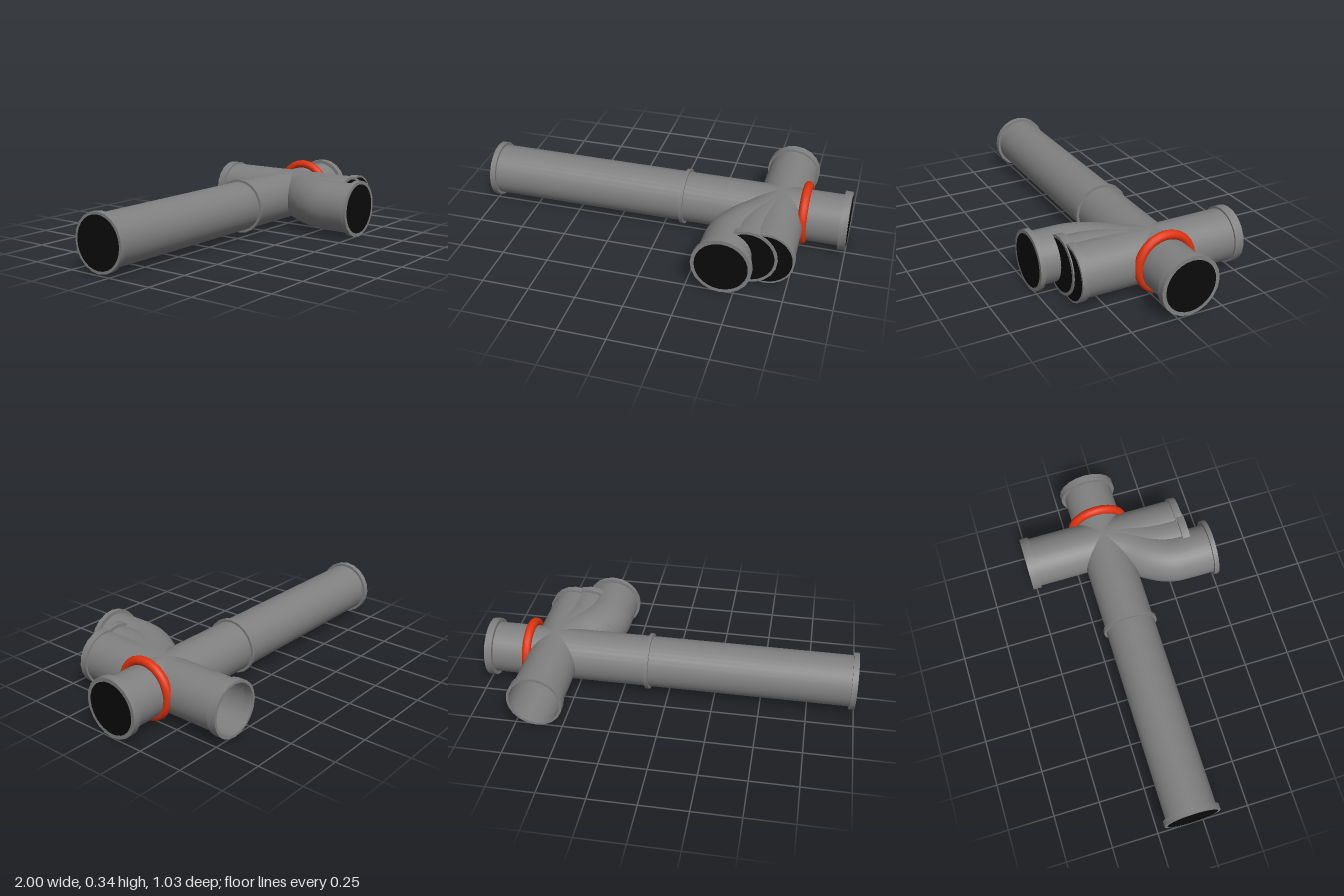
import * as THREE from 'three';
import { toCreasedNormals } from 'three/addons/utils/BufferGeometryUtils.js';

const AXIS_Y = 0.16, MAIN_Z = -0.065, BORE = 0.137;

export function createModel() {
  const group = new THREE.Group();
  const grey = new THREE.MeshStandardMaterial({ name: 'pipeGrey', color: 0x808080, side: THREE.DoubleSide });
  const black = new THREE.MeshStandardMaterial({ name: 'openingBlack', color: 0x0a0a0a });
  const red = new THREE.MeshStandardMaterial({ name: 'ringRed', color: 0xe0330f });

  const add = (name, geometry, material) => {
    const mesh = new THREE.Mesh(geometry, material);
    mesh.name = name;
    group.add(mesh);
    return mesh;
  };
  const at = (x, z) => new THREE.Vector3(x, AXIS_Y, z);
  const UP = new THREE.Vector3(0, 1, 0), FRONT = new THREE.Vector3(0, 0, 1);

  // Straight open pipe between two points
  function pipe(name, a, b) {
    const mesh = add(name, new THREE.CylinderGeometry(BORE, BORE, a.distanceTo(b), 32, 1, true), grey);
    mesh.position.copy(a).lerp(b, 0.5);
    mesh.quaternion.setFromUnitVectors(UP, b.clone().sub(a).normalize());
  }

  // Pipe swept along a bend
  function bend(name, points) {
    const curve = new THREE.CatmullRomCurve3(points.map(([x, z]) => at(x, z)));
    add(name, new THREE.TubeGeometry(curve, 32, BORE, 32, false), grey);
  }

  // Collar whose outer face lies at end and looks along dir
  function collar(name, end, dir, radius, width) {
    const inner = BORE - 0.003;
    const profile = [[inner, -width], [radius, -width], [radius, 0], [inner, 0], [inner, -width]]
      .map(([r, y]) => new THREE.Vector2(r, y));
    const mesh = add(name, toCreasedNormals(new THREE.LatheGeometry(profile, 20), 0.6), grey);
    mesh.position.copy(end);
    mesh.quaternion.setFromUnitVectors(UP, dir);
  }

  // Dark face closing a pipe mouth
  function mouth(name, end, dir) {
    const mesh = add(name, new THREE.CircleGeometry(BORE, 28), black);
    mesh.position.copy(end).addScaledVector(dir, 0.001);
    mesh.quaternion.setFromUnitVectors(FRONT, dir);
  }

  const left = new THREE.Vector3(1, 0, 0), right = left.clone().negate();
  const back = FRONT.clone().negate();

  // Main run
  pipe('mainPipe', at(-0.999, MAIN_Z), at(0.999, MAIN_Z));
  collar('longEndCollar', at(-1, MAIN_Z), right, 0.152, 0.03);
  collar('jointCollar', at(0.12, MAIN_Z), left, 0.152, 0.02);
  collar('shortEndCollar', at(1, MAIN_Z), left, 0.158, 0.04);
  mouth('longEndMouth', at(-1, MAIN_Z), right);
  mouth('shortEndMouth', at(1, MAIN_Z), left);

  // Open branch at the back
  pipe('backBranch', at(0.635, MAIN_Z), at(0.635, -0.519));
  collar('backCollar', at(0.635, -0.52), back, 0.148, 0.048);

  // Three front branches fanning out of the junction
  pipe('straightBranch', at(0.635, MAIN_Z), at(0.635, 0.389));
  bend('middleBranch', [[0.635, MAIN_Z], [0.605, 0.06], [0.568, 0.15], [0.547, 0.25], [0.545, 0.394]]);
  bend('outerBranch', [[0.635, MAIN_Z], [0.57, 0.06], [0.485, 0.17], [0.437, 0.27], [0.43, 0.38], [0.43, 0.509]]);
  [['straight', 0.635, 0.388, 0.148, 0.04], ['middle', 0.545, 0.395, 0.153, 0.042], ['outer', 0.434, 0.512, 0.157, 0.026]]
    .forEach(([name, x, z, radius, width]) => {
      collar(name + 'Collar', at(x, z), FRONT, radius, width);
      mouth(name + 'Mouth', at(x, z), FRONT);
    });

  // Red ring around the short end, sitting slightly high
  const ring = add('redRing', new THREE.TorusGeometry(0.146, 0.024, 12, 24), red);
  ring.position.set(0.765, 0.171, MAIN_Z);
  ring.rotation.y = Math.PI / 2;

  return group;
}
